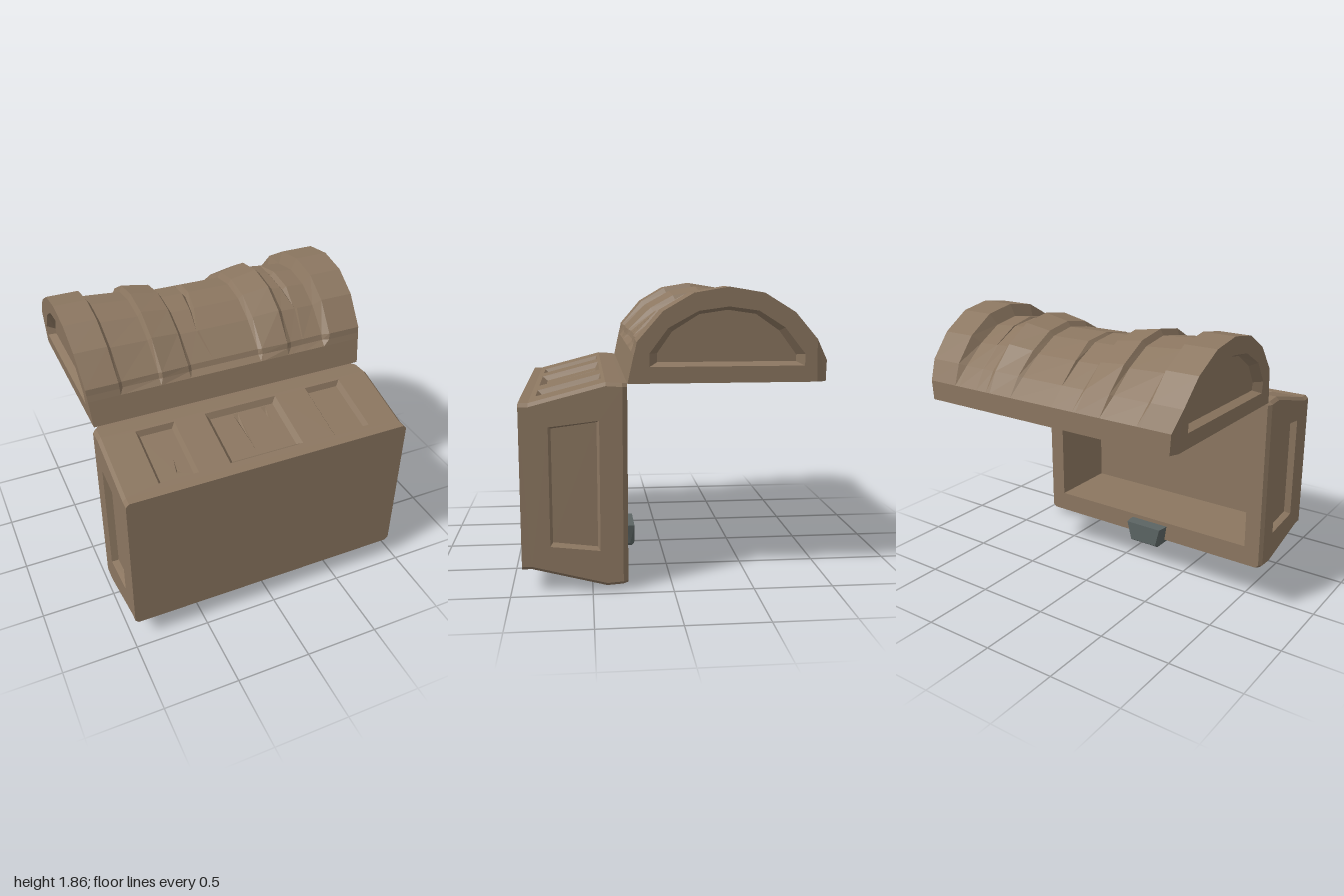
import * as THREE from 'three';
import { ConvexGeometry } from 'three/addons/geometries/ConvexGeometry.js';

const V = (x, y, z) => new THREE.Vector3(x, y, z);
const P = (x, y) => new THREE.Vector2(x, y);

// Triangle turned to face along n
function tri(out, a, b, c, n) {
  const g = b.clone().sub(a).cross(c.clone().sub(a));
  for (const p of g.dot(n) < 0 ? [a, c, b] : [a, b, c]) out.push(p.x, p.y, p.z);
}
function quad(out, a, b, c, d, n) {
  tri(out, a, b, c, n);
  tri(out, a, c, d, n);
}

// Flat plate on a frame {o,u,v,n}, with sloped-wall recesses that may nest
function plate(out, f, outline, recesses = [], depth = 0) {
  const at = (p, d) => f.o.clone().addScaledVector(f.u, p.x).addScaledVector(f.v, p.y).addScaledVector(f.n, -d);
  const holes = recesses.map(r => r.outer);
  const pts = [...outline, ...holes.flat()];
  for (const [a, b, c] of THREE.ShapeUtils.triangulateShape(outline.slice(), holes.map(h => h.slice())))
    tri(out, at(pts[a], depth), at(pts[b], depth), at(pts[c], depth), f.n);
  for (const r of recesses) {
    const low = depth + r.depth, k = r.outer.length;
    const mid = r.outer.reduce((s, p) => s.add(p), P(0, 0)).divideScalar(k);
    const centre = at(mid, (depth + low) / 2);
    for (let i = 0; i < k; i++) {
      const j = (i + 1) % k;
      const a = at(r.outer[i], depth), b = at(r.outer[j], depth);
      const inward = centre.clone().sub(a.clone().add(b).multiplyScalar(0.5));
      inward.addScaledVector(f.n, -inward.dot(f.n));
      quad(out, a, b, at(r.inner[j], low), at(r.inner[i], low), inward);
    }
    plate(out, f, r.inner, r.kids, low);
  }
}

// Recess whose floor outline is drawn in by a fixed amount
function recess(outer, inset, depth, kids = []) {
  const mid = outer.reduce((s, p) => s.add(p), P(0, 0)).divideScalar(outer.length);
  const pull = (p, m) => p - Math.sign(p - m) * Math.min(inset, Math.abs(p - m) * 0.9);
  return { outer, inner: outer.map(p => P(pull(p.x, mid.x), pull(p.y, mid.y))), depth, kids };
}
const rect = (x0, y0, x1, y1) => [P(x0, y0), P(x1, y0), P(x1, y1), P(x0, y1)];
const crack = (x, y0, y1, w) => recess([P(x - w, y0), P(x + w, y0), P(x + w * 0.3, y1)], 0.05, 0.02);

function mesh(name, data, mat) {
  const g = new THREE.BufferGeometry();
  g.setAttribute('position', new THREE.Float32BufferAttribute(data, 3));
  g.computeVertexNormals();
  const m = new THREE.Mesh(g, mat);
  m.name = name;
  return m;
}

// Tipped box: opening faces -z, bottom faces +z
function boxGeometryData() {
  const out = [], c = 0.022, midY = 0.665;
  // z, half height, half width
  const rows = [[0.28, 0.625, 0.945], [0.31, 0.628, 0.965], [0.41, 0.635, 0.965], [0.87, 0.515, 0.965], [0.93, 0.515, 0.965]];
  // Section corner: s and t pick the side, flank is the lower end of the bevel
  const corner = ([z, h, w], s, t, flank) => V(s * (flank ? w : w - c), midY + t * (flank ? h - c : h), z);
  const section = row => [[-1, -1, 0], [1, -1, 0], [1, -1, 1], [1, 1, 1], [1, 1, 0], [-1, 1, 0], [-1, 1, 1], [-1, -1, 1]]
    .map(([s, t, flank]) => corner(row, s, t, flank)).map(p => P(p.x, p.y));

  // Bottom board and open rim with cavity
  const hollow = rect(-0.83, 0.185, 0.83, 1.145);
  plate(out, { o: V(0, 0, 0.93), u: V(1, 0, 0), v: V(0, 1, 0), n: V(0, 0, 1) }, section(rows[4]));
  plate(out, { o: V(0, 0, 0.28), u: V(1, 0, 0), v: V(0, 1, 0), n: V(0, 0, -1) }, section(rows[0]),
    [{ outer: hollow, inner: hollow, depth: 0.52, kids: [] }]);

  for (const s of [-1, 1]) {
    // Long walls: plain edges around a panelled slope
    for (const i of [0, 1, 3])
      quad(out, corner(rows[i], -1, s, 0), corner(rows[i], 1, s, 0),
        corner(rows[i + 1], 1, s, 0), corner(rows[i + 1], -1, s, 0), V(0, s, 0));
    const slope = 0.12 / 0.46, w = 0.965 - c;
    plate(out, { o: V(0, midY + s * 0.635, 0.41), u: V(1, 0, 0), v: V(0, -s * slope, 1), n: V(0, s, slope).normalize() },
      rect(-w, 0, w, 0.46), [
        recess(rect(-0.725, 0.02, -0.465, 0.425), 0.022, 0.035, [crack(-0.57, 0.37, 0.26, 0.016)]),
        recess(rect(-0.255, 0.02, 0.25, 0.425), 0.028, 0.035,
          [crack(-0.05, 0.055, 0.36, 0.018), crack(0.15, 0.055, 0.2, 0.018)]),
        recess(rect(0.475, 0.02, 0.735, 0.425), 0.022, 0.035)]);

    // Short walls with one sunken panel
    const edge = t => rows.slice(1).map(row => corner(row, s, t, 1)).map(p => P(p.z, p.y));
    plate(out, { o: V(s * 0.965, 0, 0), u: V(0, 0, 1), v: V(0, 1, 0), n: V(s, 0, 0) },
      [...edge(1), ...edge(-1).reverse()],
      [recess([P(0.755, 0.295), P(0.755, 1.035), P(0.45, 1.07), P(0.45, 0.26)], 0.015, 0.045)]);
    quad(out, corner(rows[0], s, -1, 1), corner(rows[0], s, 1, 1),
      corner(rows[1], s, 1, 1), corner(rows[1], s, -1, 1), V(s, 0, -1));

    // Bevels along the long edges
    for (const t of [-1, 1])
      for (let i = 0; i < 4; i++)
        quad(out, corner(rows[i], s, t, 0), corner(rows[i], s, t, 1),
          corner(rows[i + 1], s, t, 1), corner(rows[i + 1], s, t, 0), V(s, t, 0));
  }
  return out;
}

// Barrel lid: profile swept along x, with sunken staves and two cracks
function lidGeometryData() {
  const out = [];
  const profile = [[0.28, 1.29], [0.243, 1.46], [0.232, 1.5], [0.225, 1.54], [0.07, 1.72], [-0.11, 1.825],
    [-0.32, 1.86], [-0.53, 1.825], [-0.72, 1.71], [-0.86, 1.55], [-0.93, 1.42], [-0.93, 1.29]];
  const weight = [0, 0, 0.4, 0.5, 0.9, 1, 1, 1, 0.9, 0.45, 0, 0]; // stave depth along the profile
  const halfX = j => 0.96 + 0.07 * (profile[j][1] - 1.29) - (j > 9 ? 0.025 : 0);
  // Cracks: centre and half width for each profile row they cross
  const cracks = [
    { x: -0.1, rows: { 4: [-0.14, 0.008], 5: [-0.115, 0.016], 6: [-0.092, 0.024], 7: [-0.08, 0.026], 8: [-0.09, 0.012] } },
    { x: 0.57, rows: { 4: [0.59, 0.008], 5: [0.568, 0.024], 6: [0.562, 0.024], 7: [0.565, 0.006] } }];
  // Columns: x, inset, then crack and side of it
  const split = (k, inset) => [-1, 0, 1].map(side => [cracks[k].x, inset, cracks[k], side]);
  const columns = [[-1, 0], [-0.78, 0], [-0.755, 0.04], [-0.5, 0.06], [-0.48, 0.02], [-0.29, 0.05], [-0.265, 0.09],
    ...split(0, 0.092), [0.23, 0.095], [0.255, 0.06], [0.44, 0.025], [0.475, 0.06],
    ...split(1, 0.068), [0.725, 0.08], [0.765, 0], [1, 0]];

  const point = ([x, inset, gap, side], j) => {
    const [z, y] = profile[j];
    let d = inset * weight[j];
    if (gap) {
      const [cx, hw] = gap.rows[j] || [gap.x, 0.004];
      x = cx + side * hw;
      if (gap.rows[j] && side === 0) d += 0.03;
    }
    const dir = V(0, 1.29 - y, -0.32 - z).normalize();
    return V(x * halfX(j), y, z).addScaledVector(dir, d);
  };
  for (let i = 0; i + 1 < columns.length; i++)
    for (let j = 0; j + 1 < profile.length; j++) {
      const a = point(columns[i], j), b = point(columns[i + 1], j);
      const c = point(columns[i + 1], j + 1), d = point(columns[i], j + 1);
      for (const p of [a, b, c, a, c, d]) out.push(p.x, p.y, p.z);
    }

  // Arched ends with a sunken panel and a cut rear corner
  const arch = [[0.15, 1.39], [0.15, 1.47], [0.04, 1.62], [-0.14, 1.72], [-0.32, 1.745], [-0.5, 1.72],
    [-0.66, 1.62], [-0.79, 1.46], [-0.79, 1.39]];
  const archIn = [[0.1, 1.41], [0.1, 1.465], [0.01, 1.595], [-0.15, 1.695], [-0.32, 1.72], [-0.49, 1.695],
    [-0.635, 1.595], [-0.745, 1.45], [-0.745, 1.41]];
  const flat = list => list.map(([z, y]) => P(z, y - 1.29));
  for (const s of [-1, 1]) {
    plate(out, { o: V(s * 0.96, 1.29, 0), u: V(0, 0, 1), v: V(s * 0.07, 1, 0), n: V(s, -0.07, 0).normalize() },
      flat([...profile.slice(0, 10), [-0.87, 1.29]]),
      [{ outer: flat(arch), inner: flat(archIn), depth: 0.05, kids: [] }]);
    const end = [s, 0];
    quad(out, point(end, 9), point(end, 10), point(end, 11), V(s * 0.96, 1.29, -0.87), V(s, 0, -0.4));
  }

  // Underside rim and cavity
  const hollow = rect(-0.8, -0.78, 0.8, 0.18);
  plate(out, { o: V(0, 1.29, 0), u: V(1, 0, 0), v: V(0, 0, 1), n: V(0, -1, 0) },
    [P(-0.935, -0.93), P(0.935, -0.93), P(0.96, -0.87), P(0.96, 0.28), P(-0.96, 0.28), P(-0.96, -0.87)],
    [{ outer: hollow, inner: hollow, depth: 0.21, kids: [] }]);
  return out;
}

export function createModel() {
  const wood = new THREE.MeshStandardMaterial({ color: 0x8b7660 });
  wood.name = 'brown wood';
  const iron = new THREE.MeshStandardMaterial({ color: 0x5b6463 });
  iron.name = 'grey iron';

  const group = new THREE.Group();
  group.name = 'openChest';
  const box = mesh('box', boxGeometryData(), wood);
  box.position.x = -0.012;
  group.add(box, mesh('lid', lidGeometryData(), wood));

  // Lock: bevelled wedge under the rim
  const corners = [];
  for (const s of [-1, 1])
    for (const [x, y, z] of [[0.12, 0, 0.21], [0.12, 0, 0.54], [0.11, 0.015, 0.19], [0.135, 0.02, 0.22],
      [0.135, 0.015, 0.56], [0.145, 0.08, 0.56], [0.145, 0.155, 0.19], [0.155, 0.155, 0.25], [0.155, 0.155, 0.3],
      [0.13, 0.095, 0.55]])
      corners.push(V(s * x - 0.025, y, z));
  const lock = new THREE.Mesh(new ConvexGeometry(corners), iron);
  lock.name = 'lock';
  group.add(lock);
  return group;
}
